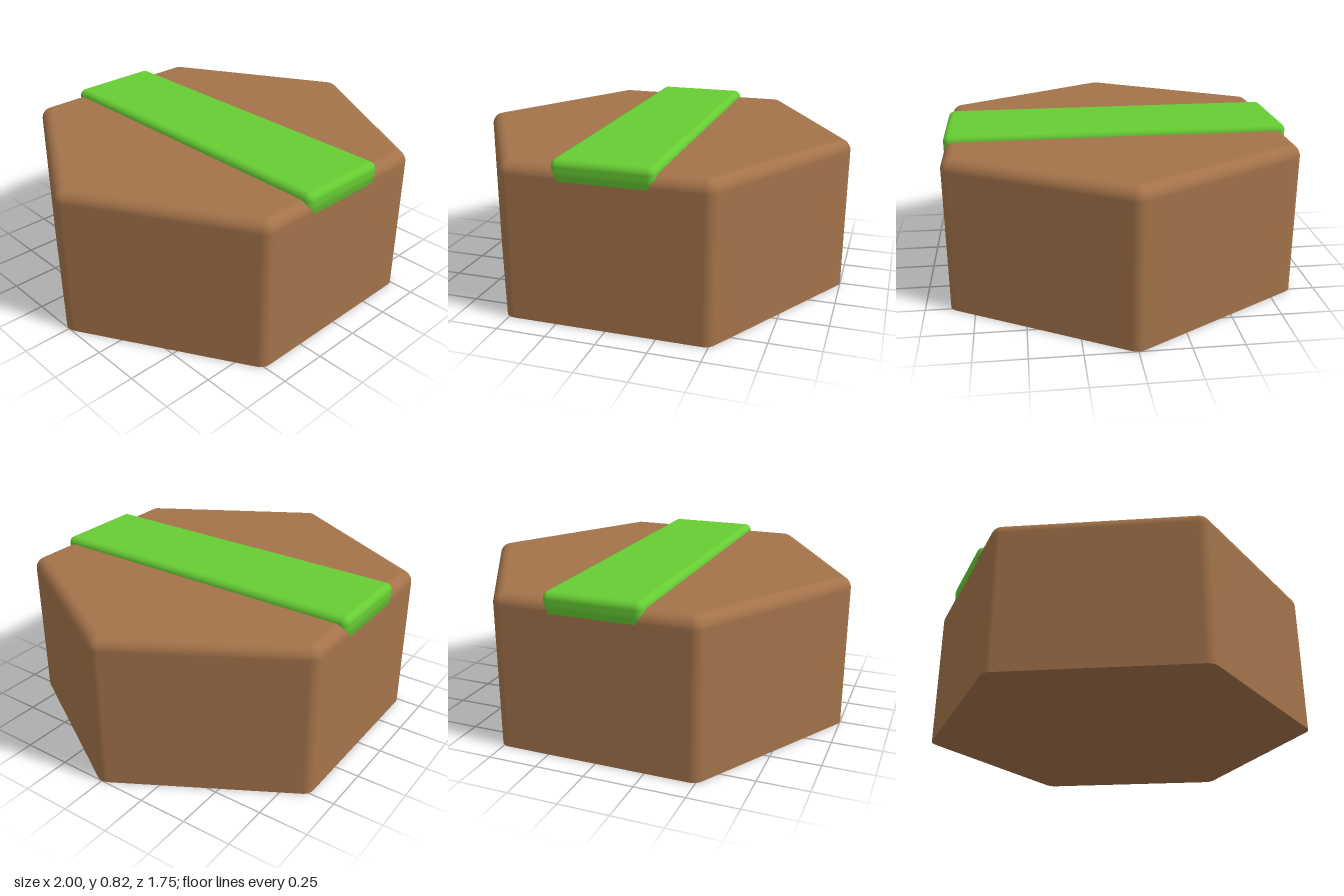
import * as THREE from 'three';

// Rounds a polygon's corners and stacks it in levels [y, offsetX, offsetZ, normalTilt], closed by flat caps.
// corners are [x, z] centres of the corner arcs; arc k faces startAngle + k * turn.
function roundedPrism(corners, startAngle, levels, steps = 6) {
  const turn = (Math.PI * 2) / corners.length;
  const ring = [];
  corners.forEach(([x, z], k) => {
    for (let s = 0; s <= steps; s++) {
      ring.push({ x, z, a: startAngle + k * turn + (s / steps - 0.5) * turn });
    }
  });
  const n = ring.length;
  const pos = [], nor = [], idx = [];
  const addRing = ([y, ox, oz, tilt], capNormal) => {
    const base = pos.length / 3;
    for (const { x, z, a } of ring) {
      const c = Math.cos(a), s = Math.sin(a);
      pos.push(x + c * ox, y, z + s * oz);
      if (capNormal) nor.push(0, capNormal, 0);
      else nor.push(c * Math.cos(tilt), Math.sin(tilt), s * Math.cos(tilt));
    }
    return base;
  };

  // walls and rounded rim
  const bases = levels.map((level) => addRing(level));
  for (let j = 0; j < levels.length - 1; j++) {
    for (let i = 0; i < n; i++) {
      const i2 = (i + 1) % n, lo = bases[j], up = bases[j + 1];
      idx.push(lo + i, up + i, lo + i2, lo + i2, up + i, up + i2);
    }
  }

  // bottom and top caps
  for (const [level, dir] of [[levels[0], -1], [levels[levels.length - 1], 1]]) {
    const base = addRing(level, dir);
    const centre = pos.length / 3;
    pos.push(0, level[0], 0);
    nor.push(0, dir, 0);
    for (let i = 0; i < n; i++) {
      const i2 = (i + 1) % n;
      if (dir > 0) idx.push(centre, base + i2, base + i);
      else idx.push(centre, base + i, base + i2);
    }
  }

  const geometry = new THREE.BufferGeometry();
  geometry.setAttribute('position', new THREE.Float32BufferAttribute(pos, 3));
  geometry.setAttribute('normal', new THREE.Float32BufferAttribute(nor, 3));
  geometry.setIndex(idx);
  return geometry;
}

// Quarter-round rim levels ending at height top
function rim(top, radius, steps = 8) {
  return Array.from({ length: steps + 1 }, (_, i) => {
    const t = (i / steps) * Math.PI / 2;
    const offset = radius * Math.cos(t);
    return [top - radius + radius * Math.sin(t), offset, offset, t];
  });
}

export function createModel() {
  const model = new THREE.Group();
  model.name = 'hexTile';
  const brown = new THREE.MeshStandardMaterial({ color: 0xa4734a });
  brown.name = 'earthBrown';
  const green = new THREE.MeshStandardMaterial({ color: 0x66cc33 });
  green.name = 'stripGreen';

  // hexagonal block: sharp bottom edge, rounded top rim and corners
  const edge = 0.06, core = 0.94;
  const hexCorners = Array.from({ length: 6 }, (_, k) => {
    const a = (k * Math.PI) / 3;
    return [core * Math.cos(a), core * Math.sin(a)];
  });
  const block = new THREE.Mesh(
    roundedPrism(hexCorners, 0, [[0, edge, edge, 0], ...rim(0.79, edge)]), brown);
  block.name = 'hexBlock';
  model.add(block);

  // raised strip running front to back, its sides tapering in below
  const r = 0.035, hx = 0.25 - r, hz = 0.876 - r;
  const stripCorners = [[hx, hz], [-hx, hz], [-hx, -hz], [hx, -hz]];
  const strip = new THREE.Mesh(
    roundedPrism(stripCorners, Math.PI / 4, [
      [0.722, 0.008, r, -0.3],
      [0.745, 0.022, r, -0.25],
      [0.768, r, r, 0],
      ...rim(0.823, r),
    ]), green);
  strip.name = 'topStrip';
  model.add(strip);

  return model;
}
